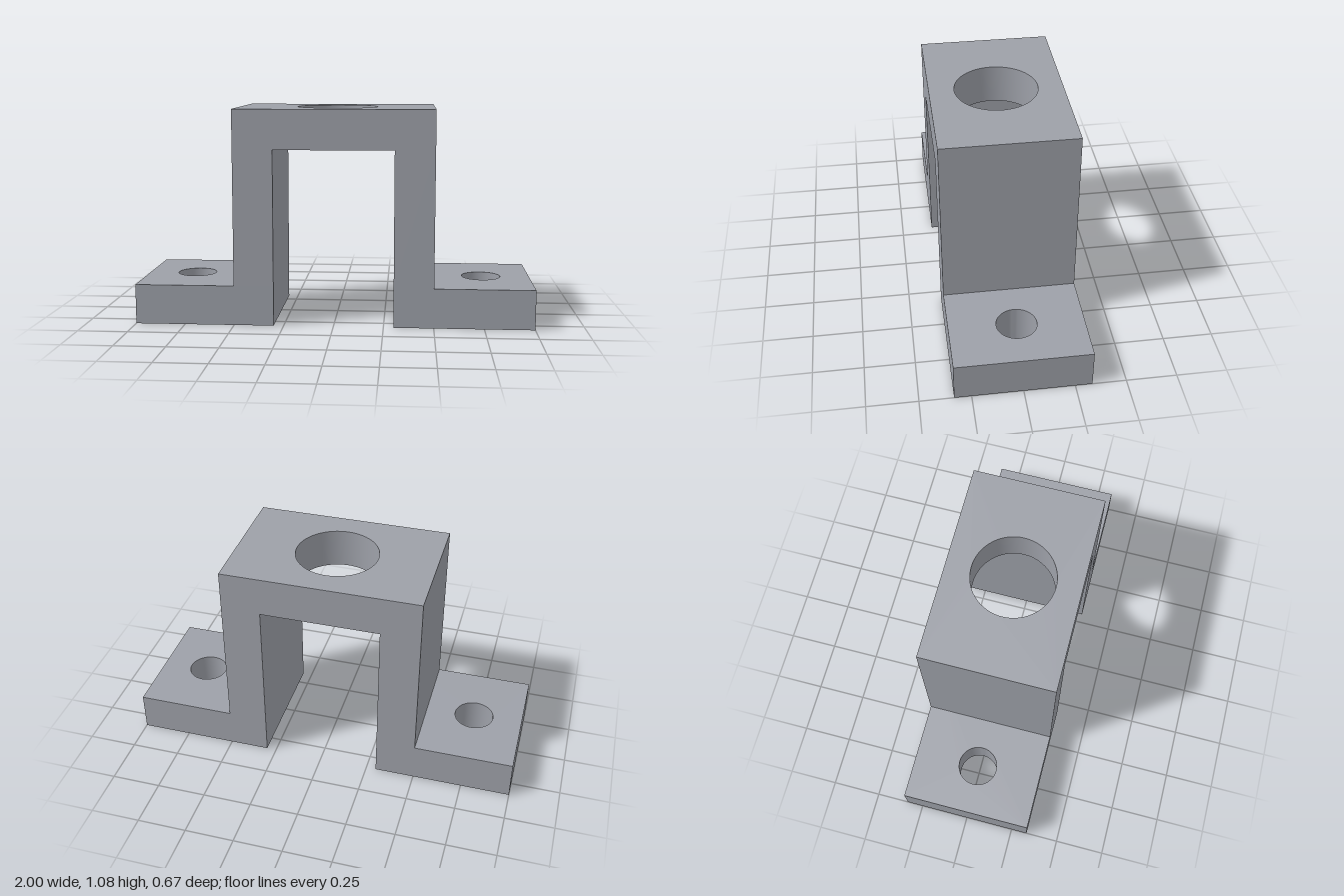
import * as THREE from 'three';
import { toCreasedNormals } from 'three/addons/utils/BufferGeometryUtils.js';

const DEPTH = 0.667, THICK = 0.2, HEIGHT = 1.083;
const material = new THREE.MeshStandardMaterial({ color: 0x9da0a8 });

// Flat plate from x0 to x1 with its underside at y, pierced by one round hole
function plate(name, x0, x1, y, holeX, holeRadius) {
  const d = DEPTH / 2;
  const shape = new THREE.Shape([
    new THREE.Vector2(x0, -d), new THREE.Vector2(x1, -d),
    new THREE.Vector2(x1, d), new THREE.Vector2(x0, d),
  ]);
  shape.holes.push(new THREE.Path().absarc(holeX, 0, holeRadius, 0, Math.PI * 2, true));
  const extruded = new THREE.ExtrudeGeometry(shape, { depth: THICK, bevelEnabled: false, curveSegments: 32 });
  extruded.rotateX(-Math.PI / 2).translate(0, y, 0);
  const mesh = new THREE.Mesh(toCreasedNormals(extruded, 0.6), material);
  mesh.name = name;
  return mesh;
}

export function createModel() {
  const group = new THREE.Group();
  group.name = 'mountingBracket';

  // Raised bridge with the large bore
  group.add(plate('topPlate', -0.5, 0.5, HEIGHT - THICK, 0, 0.208));

  for (const [side, s] of [['left', 1], ['right', -1]]) {
    // Foot with its bolt hole, reaching in under the wall
    group.add(plate(side + 'Foot', Math.min(s * 0.3, s), Math.max(s * 0.3, s), 0, s * 0.75, 0.1));

    // Upright wall between foot and bridge
    const wallHeight = HEIGHT - 2 * THICK;
    const wall = new THREE.Mesh(new THREE.BoxGeometry(THICK, wallHeight, DEPTH), material);
    wall.position.set(s * 0.4, THICK + wallHeight / 2, 0);
    wall.name = side + 'Wall';
    group.add(wall);
  }
  return group;
}
